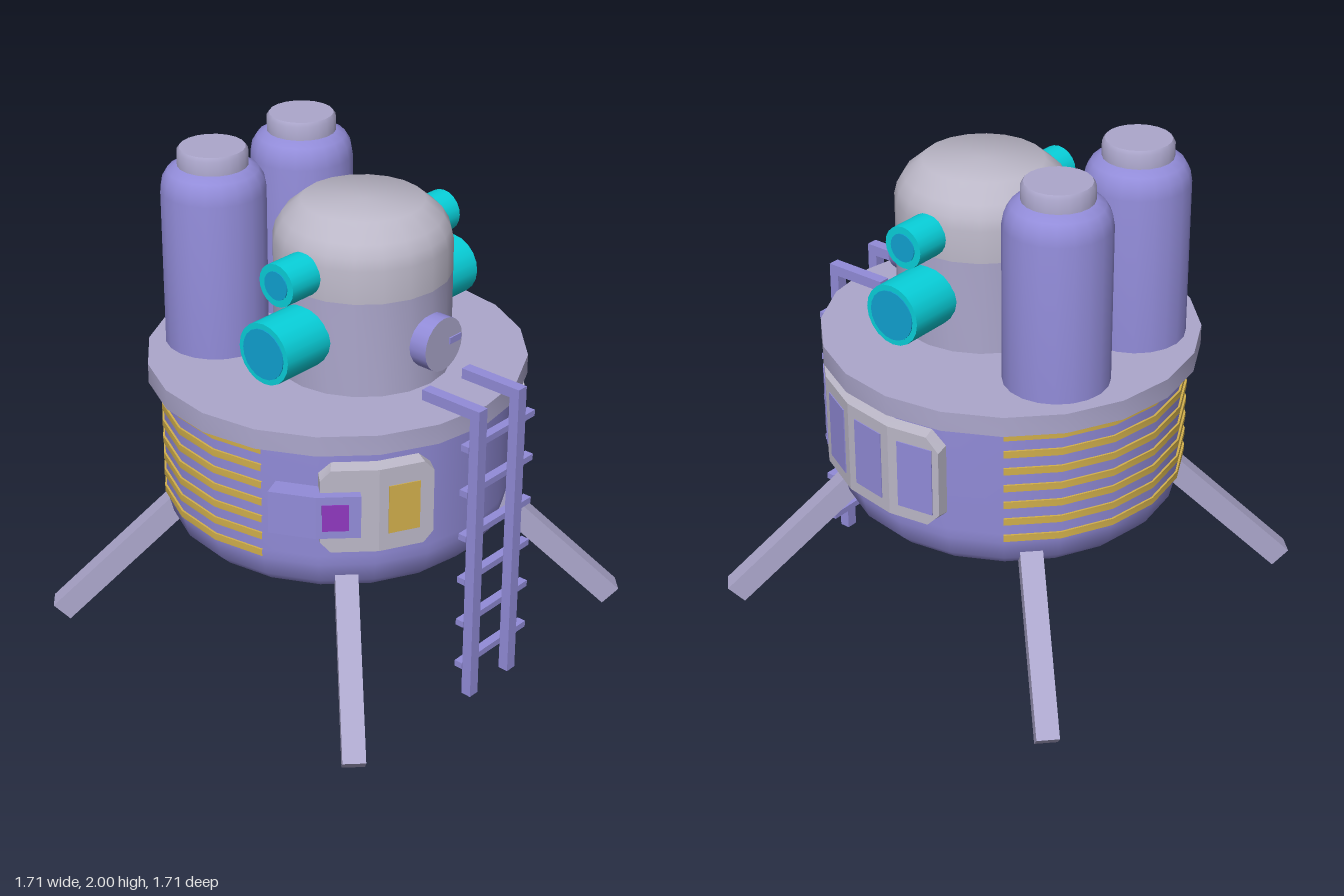
import * as THREE from 'three';
import { toCreasedNormals } from 'three/addons/utils/BufferGeometryUtils.js';

const SIDES = 20, STEP = 18, RAD = Math.PI / 180;

const colour = (name, hex) => {
  const m = new THREE.MeshStandardMaterial({ color: hex });
  m.name = name;
  return m;
};

export function createModel() {
  const violet = colour('violet', 0x928cd9);
  const lilac = colour('lilac', 0xaca7cc);
  const paleGrey = colour('pale grey', 0xbcb8c8);
  const cyan = colour('cyan', 0x08d0da);
  const blue = colour('blue', 0x10a2d2);
  const gold = colour('gold', 0xd2b04c);
  const purple = colour('purple', 0x8f38bf);

  const model = new THREE.Group();
  model.name = 'landerBase';

  const add = (name, geometry, material, x = 0, y = 0, z = 0, parent = model) => {
    const mesh = new THREE.Mesh(geometry, material);
    mesh.name = name;
    mesh.position.set(x, y, z);
    parent.add(mesh);
    return mesh;
  };
  const lathe = (points, segments = SIDES, start = 0, length = 360) =>
    toCreasedNormals(new THREE.LatheGeometry(
      points.map(([r, y]) => new THREE.Vector2(r, y)), segments, start * RAD, length * RAD), 0.75);
  const box = (w, h, d) => new THREE.BoxGeometry(w, h, d);

  // Radius at any angle on a 20-sided outline
  const facetRadius = (deg, r) => {
    const m = (((deg % STEP) + STEP) % STEP) - STEP / 2;
    return r * Math.cos(STEP / 2 * RAD) / Math.cos(m * RAD);
  };

  // Solid plate wrapped round the hull; sections are [angle, half height]
  const curvedPanel = (sections, yMid, rIn, rOut, inset = 1) => {
    const last = sections.length - 1, rings = [], out = [];
    const point = (deg, r, y) => {
      const R = facetRadius(deg, r);
      return [R * Math.sin(deg * RAD), y, R * Math.cos(deg * RAD)];
    };
    sections.forEach(([deg, h], i) => {
      const outer = deg + (i === 0 ? inset : i === last ? -inset : 0);
      const hOut = h - 0.01 * inset;
      rings.push([point(deg, rIn, yMid - h), point(outer, rOut, yMid - hOut),
        point(outer, rOut, yMid + hOut), point(deg, rIn, yMid + h)]);
    });
    const quad = (a, b, c, d) => out.push(...a, ...b, ...c, ...a, ...c, ...d);
    for (let i = 0; i < last; i++) {
      for (let k = 0; k < 4; k++) {
        const n = (k + 1) % 4;
        quad(rings[i][k], rings[i + 1][k], rings[i + 1][n], rings[i][n]);
      }
    }
    quad(...rings[0]);
    quad(...rings[last].slice().reverse());
    const g = new THREE.BufferGeometry();
    g.setAttribute('position', new THREE.Float32BufferAttribute(out, 3));
    return toCreasedNormals(g, 0.2);
  };

  // Thin plate lying on one facet of a panel
  const plate = (name, deg, offset, y, w, h, r, material) => {
    const turn = new THREE.Group();
    turn.name = name;
    turn.rotation.y = deg * RAD;
    model.add(turn);
    add(name + 'Plate', box(w, h, 0.008), material, offset, y, r * Math.cos(9 * RAD), turn);
  };

  // Hull with rounded underside, and the deck
  add('hull', lathe([[0, 0.48], [0.56, 0.48], [0.62, 0.495], [0.665, 0.54], [0.685, 0.62],
    [0.688, 0.66], [0.688, 1.13]]), violet);
  add('deck', lathe([[0, 1.12], [0.743, 1.12], [0.743, 1.2], [0, 1.2]]), lilac);

  // Gold pipes round the back and right side
  for (let i = 0; i < 7; i++) {
    const y = 0.647 + i * 0.0733;
    add('goldBand', lathe([[0.68, y - 0.014], [0.696, y - 0.014], [0.696, y + 0.014],
      [0.68, y + 0.014]], 9, 126, 162), gold);
  }

  // Window panel on the left side
  add('windowPanel', curvedPanel([[36, 0.145], [41, 0.2], [54, 0.2], [72, 0.2], [90, 0.2],
    [103, 0.2], [108, 0.145]], 0.88, 0.685, 0.74), paleGrey);
  for (const deg of [45, 63, 81, 99]) plate('window', deg, 0, 0.88, 0.15, 0.28, 0.74, violet);

  // Front panel with gold window, and the raised housing beside it
  add('frontPanel', curvedPanel([[306, 0.14], [310, 0.183], [324, 0.183], [338, 0.183],
    [342, 0.14]], 0.882, 0.685, 0.74), paleGrey);
  plate('goldWindow', 333, -0.016, 0.88, 0.125, 0.2, 0.74, gold);
  add('housing', curvedPanel([[292.5, 0.0875], [306, 0.0875], [318.5, 0.0875]],
    0.878, 0.69, 0.775, 0), violet);
  plate('purpleWindow', 315, -0.048, 0.878, 0.1, 0.11, 0.775, purple);

  // Cabin in two tones
  const cabinZ = 0.13;
  add('cabinWall', lathe([[0.343, 1.19], [0.343, 1.58]]), lilac, 0, 0, cabinZ);
  add('cabinRoof', lathe([[0.343, 1.58], [0.343, 1.71], [0.332, 1.755], [0.305, 1.8],
    [0.235, 1.86], [0, 1.86]]), paleGrey, 0, 0, cabinZ);

  // Round hatch at the cabin front
  const hatch = add('hatch', new THREE.CylinderGeometry(0.107, 0.107, 0.12, SIDES),
    [violet, lilac, lilac], 0, 1.383, 0.473);
  hatch.rotation.x = Math.PI / 2;
  add('hatchHandle', box(0.065, 0.026, 0.008), violet, 0.063, 1.387, 0.535);

  // Side pods with blue lenses
  for (const side of [-1, 1]) {
    for (const [y, r, lens, end] of [[1.412, 0.122, 0.1, 0.548], [1.663, 0.084, 0.056, 0.476]]) {
      const pod = new THREE.Group();
      pod.name = 'sidePod';
      pod.position.set(0, y, cabinZ);
      pod.rotation.z = -side * Math.PI / 2;
      model.add(pod);
      add('podBody', new THREE.CylinderGeometry(r, r, end - 0.28, SIDES), cyan,
        0, (end + 0.28) / 2, 0, pod);
      add('podLens', new THREE.CylinderGeometry(lens, lens, 0.008, SIDES), blue, 0, end, 0, pod);
    }
  }

  // Twin tanks with caps
  for (const x of [-0.251, 0.243]) {
    add('tank', lathe([[0.204, 1.19], [0.204, 1.83], [0.196, 1.875], [0.175, 1.91],
      [0.14, 1.93], [0, 1.93]]), violet, x, 0, -0.407);
    add('tankCap', lathe([[0.137, 1.92], [0.137, 1.985], [0.127, 2], [0, 2]]), lilac, x, 0, -0.407);
  }

  // Four splayed legs
  for (let i = 0; i < 4; i++) {
    const leg = new THREE.Group();
    leg.name = 'leg';
    leg.rotation.y = Math.PI / 4 + i * Math.PI / 2;
    model.add(leg);
    const length = 0.84, reach = (length / 2) * Math.SQRT1_2;
    add('legBeam', box(0.088, 0.092, length), lilac, 0, 0.0325 + reach, 1.133 - reach, leg)
      .rotation.x = Math.PI / 4;
  }

  // Ladder with hooks over the deck
  const ladder = new THREE.Group();
  ladder.name = 'ladder';
  model.add(ladder);
  for (const x of [-0.119, 0.115]) {
    add('ladderRail', box(0.047, 1.255, 0.043), violet, x, 0.6275, 0.8, ladder);
    add('ladderHook', box(0.047, 0.043, 0.235), violet, x, 1.2335, 0.6675, ladder);
  }
  for (let i = 0; i < 6; i++) {
    add('ladderRung', box(0.4, 0.026, 0.036), violet, 0.053, 0.128 + i * 0.191, 0.762, ladder);
  }

  return model;
}
